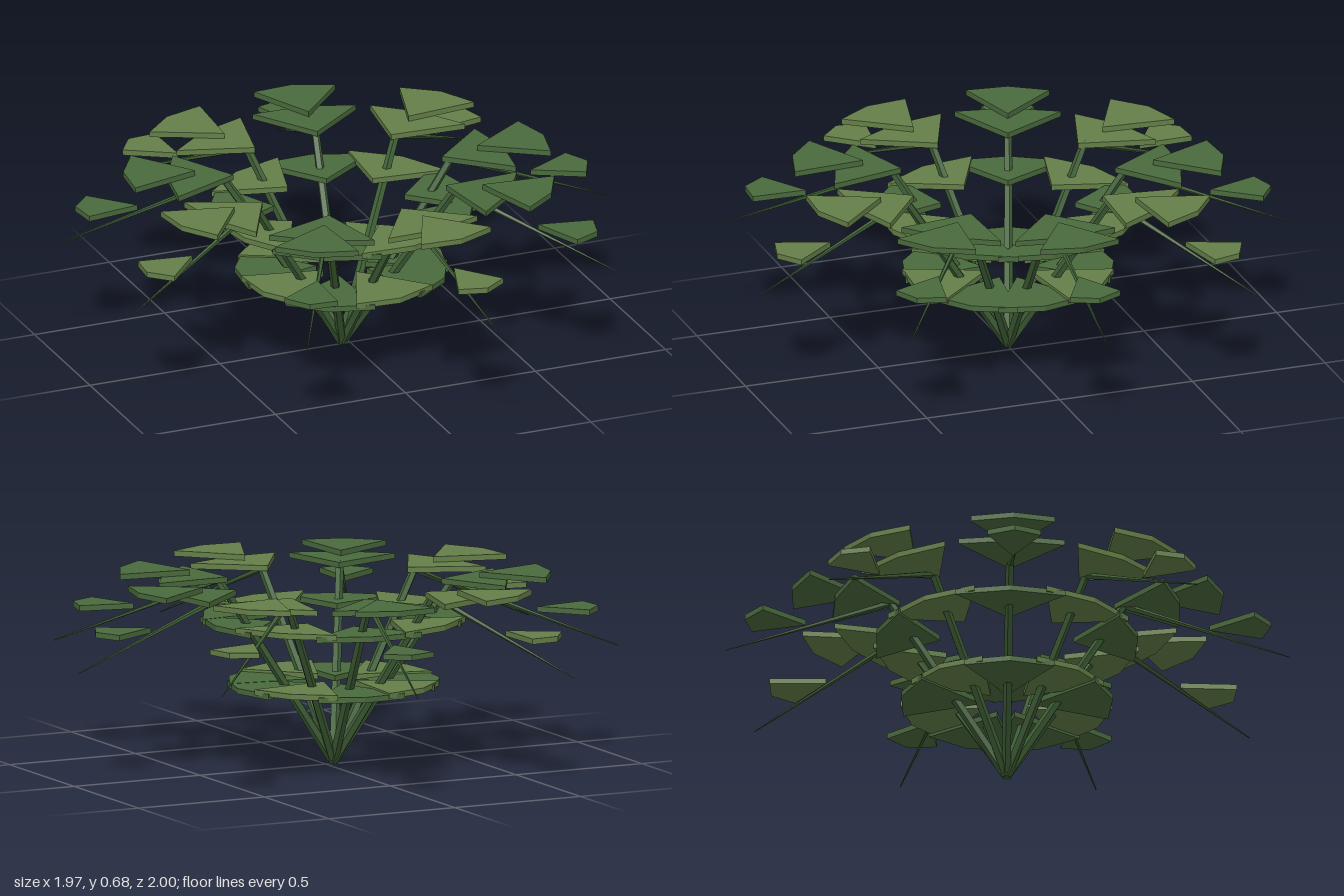
import * as THREE from 'three';

const darkGreen = new THREE.MeshStandardMaterial({ name: 'dark leaf green', color: 0x4a6a3d });
const lightGreen = new THREE.MeshStandardMaterial({ name: 'light leaf green', color: 0x647f48 });
const stemGreen = new THREE.MeshStandardMaterial({ name: 'stem green', color: 0x3f5f36 });

const FRONDS = 9;
const LEAF_THICKNESS = 0.02;

// Kite leaflets along a frond: inner point, widest radius, tip, half width, base height
const LEAVES = [
  { name: 'lowestLeaf', inner: 0.09, wide: 0.34, tip: 0.38, half: 0.16, y: 0.28 },
  { name: 'lowerLeaf', inner: 0.24, wide: 0.43, tip: 0.47, half: 0.195, y: 0.513 },
  { name: 'crownLeaf', inner: 0.385, wide: 0.59, tip: 0.62, half: 0.188, y: 0.635 },
  { name: 'outerLeaf', inner: 0.52, wide: 0.74, tip: 0.775, half: 0.148, y: 0.655 },
  { name: 'tipLeaf', inner: 0.725, wide: 0.9, tip: 0.945, half: 0.095, y: 0.527 },
];

// Flat kite plate lying in the horizontal plane
function leafGeometry({ inner, wide, tip, half }) {
  const shape = new THREE.Shape();
  shape.moveTo(inner, 0);
  shape.lineTo(wide, -half);
  shape.lineTo(tip, 0);
  shape.lineTo(wide, half);
  shape.closePath();
  const geometry = new THREE.ExtrudeGeometry(shape, { depth: LEAF_THICKNESS, bevelEnabled: false });
  return geometry.rotateX(-Math.PI / 2);
}

// Tapered five-sided rod between two points of the frond plane
function rodGeometry(x0, y0, x1, y1, r0, r1) {
  const from = new THREE.Vector3(x0, y0, 0);
  const to = new THREE.Vector3(x1, y1, 0);
  const dir = to.clone().sub(from);
  const geometry = new THREE.CylinderGeometry(r1, r0, dir.length(), 5).toNonIndexed();
  geometry.computeVertexNormals();
  geometry.applyQuaternion(new THREE.Quaternion().setFromUnitVectors(
    new THREE.Vector3(0, 1, 0), dir.normalize()));
  return geometry.translate((x0 + x1) / 2, (y0 + y1) / 2, 0);
}

export function createModel() {
  const plant = new THREE.Group();
  plant.name = 'fernPlant';

  const leafGeometries = LEAVES.map(leafGeometry);
  const risingStem = rodGeometry(0, 0.01, 0.42, 0.645, 0.018, 0.015);
  const droopingStem = rodGeometry(0.415, 0.645, 1.013, 0.404, 0.012, 0.002);
  const lightFronds = [2, 4, 6, 8];

  for (let i = 0; i < FRONDS; i++) {
    const frond = new THREE.Group();
    frond.name = 'frond' + (i + 1);
    const isLight = lightFronds.includes(i);

    const add = (geometry, material, name) => {
      const mesh = new THREE.Mesh(geometry, material);
      mesh.name = name;
      frond.add(mesh);
      return mesh;
    };

    add(risingStem, stemGreen, 'risingStem');
    add(droopingStem, stemGreen, 'droopingStem');
    LEAVES.forEach((leaf, k) => {
      const mesh = add(leafGeometries[k], isLight ? lightGreen : darkGreen, leaf.name);
      // Neighbouring overlapping leaflets sit slightly above one another
      mesh.position.y = leaf.y + (isLight && k < 2 ? 0.008 : 0) + (i % 3) * 0.001;
    });

    frond.rotation.y = -i * Math.PI * 2 / FRONDS;
    plant.add(frond);
  }

  // Odd frond count: shift so the whole plant is centred
  for (const frond of plant.children) frond.position.x = -0.031;
  return plant;
}
